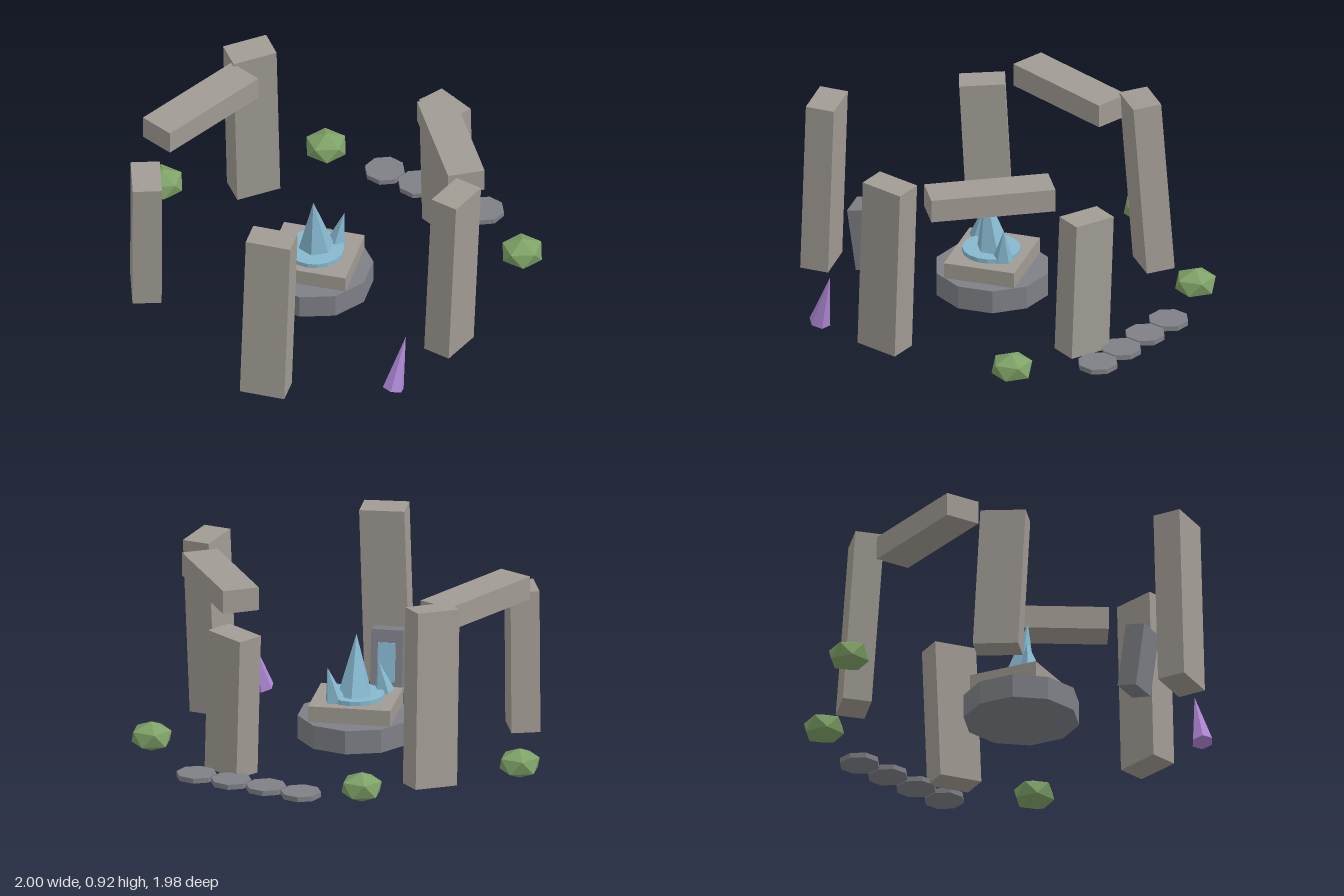
import * as THREE from 'three';

const mat = (name, color) => {
  const m = new THREE.MeshStandardMaterial({ color });
  m.name = name;
  return m;
};

export function createModel() {
  const stone = mat('warm grey stone', 0xa09b93);
  const slate = mat('dark slate', 0x7e8086);
  const ice = mat('pale blue crystal', 0x86b8cf);
  const violet = mat('violet crystal', 0xb088d6);
  const leaf = mat('leaf green', 0x7ea267);

  const group = new THREE.Group();
  group.name = 'stoneCircle';

  const add = (name, geometry, material, x, y, z) => {
    const mesh = new THREE.Mesh(geometry, material);
    mesh.name = name;
    mesh.position.set(x, y, z);
    group.add(mesh);
    return mesh;
  };
  const box = (w, h, d) => new THREE.BoxGeometry(w, h, d);
  // faceted copy of a geometry
  const facet = (g) => {
    const f = g.index ? g.toNonIndexed() : g;
    f.computeVertexNormals();
    return f;
  };

  // Places a shape so its axis runs from a base point to a top point
  const UP = new THREE.Vector3(0, 1, 0);
  const leaning = (name, makeGeometry, material, base, top, yaw = 0) => {
    const a = new THREE.Vector3(...base);
    const b = new THREE.Vector3(...top);
    const axis = b.clone().sub(a);
    const c = a.clone().add(b).multiplyScalar(0.5);
    const mesh = add(name, makeGeometry(axis.length()), material, c.x, c.y, c.z);
    mesh.quaternion
      .setFromUnitVectors(UP, axis.normalize())
      .multiply(new THREE.Quaternion().setFromAxisAngle(UP, yaw));
    return mesh;
  };

  // Ring of five standing stones, each leaning a little
  const ring = [
    ['frontStone', [-0.03, 0.04, 0.92], [-0.01, 0.917, 0.885]],
    ['leftFrontStone', [0.725, 0.04, 0.355], [0.752, 0.917, 0.32]],
    ['leftBackStone', [0.475, 0.04, -0.555], [0.455, 0.738, -0.573]],
    ['rightBackStone', [-0.5, 0.04, -0.6], [-0.5, 0.907, -0.532]],
    ['rightFrontStone', [-0.786, 0.04, 0.318], [-0.775, 0.74, 0.353]],
  ];
  ring.forEach(([name, base, top], i) => {
    leaning(name, (h) => box(0.22, h, 0.14), stone, base, top, (i * Math.PI * 2) / 5);
  });

  // Lintels on either side
  for (const [name, side, y] of [['leftLintel', 1, 0.842], ['rightLintel', -1, 0.824]]) {
    add(name, box(0.605, 0.115, 0.18), stone, -0.017 + side * 0.62, y, -0.134)
      .rotation.y = -side * 1.06;
  }

  // Central plinth, altar slab and pool
  add('plinth', facet(new THREE.CylinderGeometry(0.28, 0.28, 0.117, 10)), slate, -0.02, 0.093, 0.056);
  add('altarSlab', box(0.4, 0.08, 0.354), stone, -0.02, 0.19, 0.058);
  add('pool', facet(new THREE.CylinderGeometry(0.14, 0.14, 0.022, 18)), ice, -0.018, 0.241, 0.06);

  // Crystals
  const crystal = (name, material, r, sides, base, top) =>
    leaning(name, (h) => facet(new THREE.ConeGeometry(r, h, sides)), material, base, top);
  crystal('mainCrystal', ice, 0.09, 6, [-0.018, 0.24, 0.045], [-0.018, 0.54, 0.09]);
  crystal('leftCrystal', ice, 0.05, 5, [0.065, 0.235, -0.025], [0.1, 0.405, -0.04]);
  crystal('rightCrystal', ice, 0.05, 5, [-0.14, 0.235, 0.16], [-0.117, 0.392, 0.135]);
  crystal('groundCrystal', violet, 0.053, 6, [0.552, 0.017, 0.737], [0.597, 0.285, 0.672]);

  // Leaning tablet with an inlaid plate facing the altar
  const tablet = add('tablet', box(0.155, 0.315, 0.1), slate, -0.062, 0.2, 0.704);
  tablet.rotation.x = 0.14;
  const plate = new THREE.Mesh(box(0.085, 0.19, 0.009), ice);
  plate.name = 'tabletInlay';
  plate.position.set(0, 0, -0.0535);
  tablet.add(plate);

  // Stepping stones along the back
  for (let i = 0; i < 4; i++) {
    add('steppingStone', facet(new THREE.CylinderGeometry(0.098, 0.098, 0.025, 8)), slate,
      0.08 + i * 0.18, 0.048, -0.863 + i * 0.06);
  }

  // Squat faceted bushes, one vertex pointing up
  for (const [x, z] of [[-0.903, -0.42], [0.9, -0.342], [-0.222, -0.9]]) {
    const g = new THREE.IcosahedronGeometry(0.109, 0);
    g.rotateZ(Math.atan(2 / (1 + Math.sqrt(5))));
    g.scale(1, 0.68, 1);
    add('bush', facet(g), leaf, x, 0.112, z);
  }

  return group;
}
